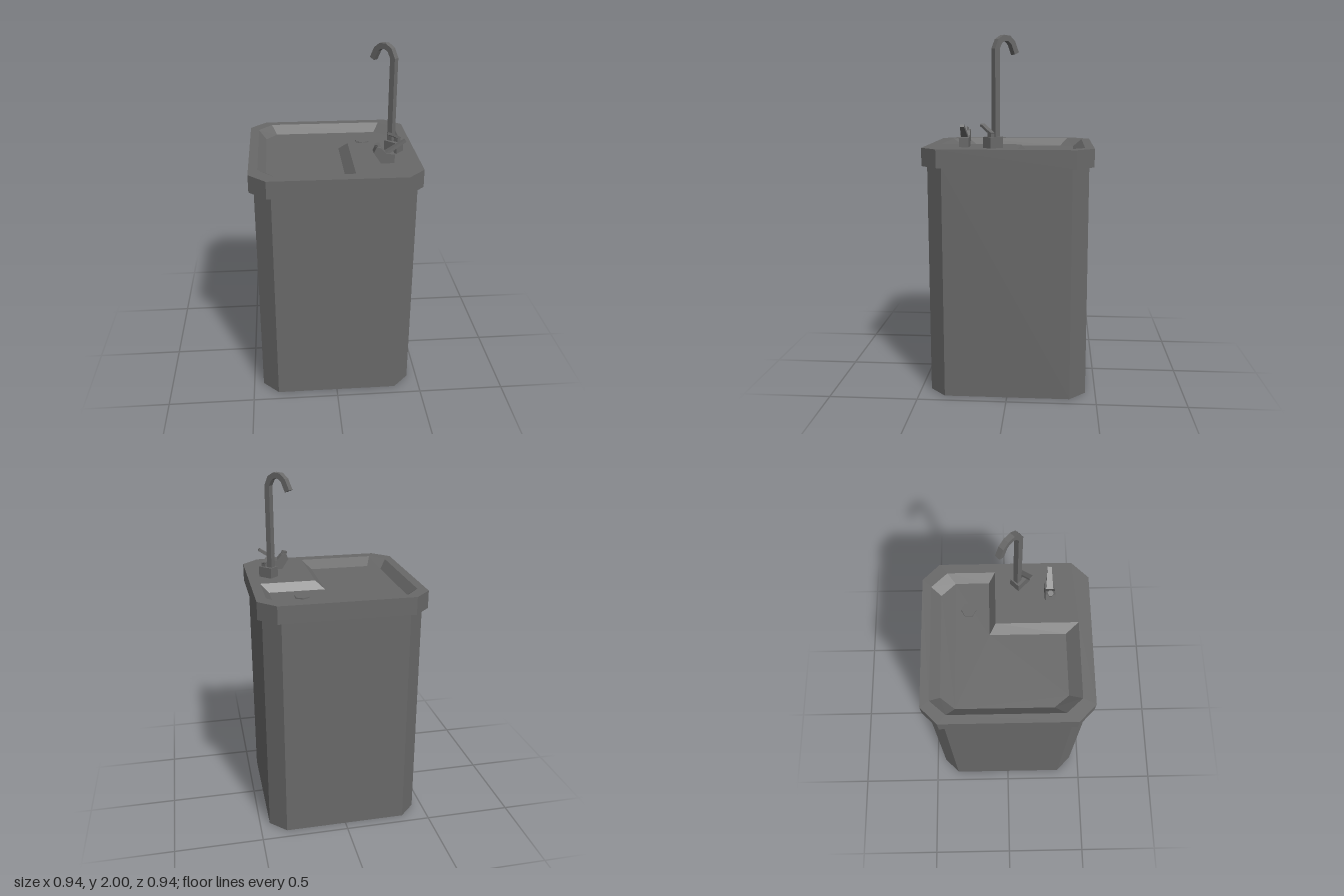
import * as THREE from 'three';

const steel = new THREE.MeshStandardMaterial({ color: 0x696969 });
steel.name = 'greySteel';

function add(parent, geometry, name, x = 0, y = 0, z = 0) {
  const flat = geometry.index ? geometry.toNonIndexed() : geometry;
  flat.computeVertexNormals();
  const mesh = new THREE.Mesh(flat, steel);
  mesh.name = name;
  mesh.position.set(x, y, z);
  parent.add(mesh);
  return mesh;
}

// Square outline [x, z] with chamfered corners
function octagon(r, c) {
  return [[-c, -r], [c, -r], [r, -c], [r, c], [c, r], [-c, r], [-r, c], [-r, -c]];
}

// Band of faces joining two outlines at two heights
function band(low, y0, high, y1) {
  const p = [];
  low.forEach((a, i) => {
    const j = (i + 1) % low.length;
    const A = [a[0], y0, a[1]], B = [low[j][0], y0, low[j][1]];
    const C = [high[j][0], y1, high[j][1]], D = [high[i][0], y1, high[i][1]];
    p.push(...A, ...D, ...C, ...A, ...C, ...B);
  });
  const g = new THREE.BufferGeometry();
  g.setAttribute('position', new THREE.Float32BufferAttribute(p, 3));
  return g;
}

// Horizontal upward face, optionally with a hole
function plate(outline, hole) {
  const pts = (o) => o.map(([x, z]) => new THREE.Vector2(x, -z));
  const shape = new THREE.Shape(pts(outline));
  if (hole) shape.holes.push(new THREE.Path(pts(hole)));
  return new THREE.ShapeGeometry(shape).rotateX(-Math.PI / 2);
}

// Side profile extruded evenly about its own plane
function slab(points, depth) {
  const shape = new THREE.Shape(points.map(([x, y]) => new THREE.Vector2(x, y)));
  return new THREE.ExtrudeGeometry(shape, { depth, bevelEnabled: false }).translate(0, 0, -depth / 2);
}

// Outline of a bent bar of constant width along a path
function barOutline(path, half) {
  const left = [], right = [];
  path.forEach((p, i) => {
    const a = path[Math.max(i - 1, 0)], b = path[Math.min(i + 1, path.length - 1)];
    const dx = b[0] - a[0], dy = b[1] - a[1], l = Math.hypot(dx, dy);
    left.push([p[0] - dy / l * half, p[1] + dx / l * half]);
    right.unshift([p[0] + dy / l * half, p[1] - dx / l * half]);
  });
  return [...left, ...right];
}

export function createModel() {
  const model = new THREE.Group();
  model.name = 'drinkingSink';

  // Cabinet
  const base = octagon(0.443, 0.352);
  const rim = octagon(0.47, 0.375);
  add(model, band(base, 0, base, 1.3), 'cabinet');
  add(model, plate(base).rotateX(Math.PI), 'cabinetBottom');

  // Counter with an L-shaped basin
  const basinTop = [[-0.34, -0.42], [0.33, -0.42], [0.415, -0.33], [0.415, -0.06], [0.1, -0.06],
    [0.1, 0.4], [-0.34, 0.4], [-0.42, 0.31], [-0.42, -0.33]];
  const basinLow = [[-0.31, -0.365], [0.295, -0.365], [0.37, -0.285], [0.37, -0.095], [0.05, -0.095],
    [0.05, 0.33], [-0.31, 0.33], [-0.375, 0.25], [-0.375, -0.285]];
  const floorY = 1.355;
  add(model, band(base, 1.3, rim, 1.3), 'counterUnderside');
  add(model, band(rim, 1.3, rim, 1.4), 'counterEdge');
  add(model, plate(rim, basinTop), 'counterTop', 0, 1.4, 0);
  add(model, band(basinTop, 1.4, basinLow, floorY), 'basinWalls');
  add(model, plate(basinLow), 'basinFloor', 0, floorY, 0);
  add(model, new THREE.CylinderGeometry(0.043, 0.043, 0.008, 6), 'drain', 0.203, floorY + 0.003, -0.21);

  // Gooseneck faucet, turned toward the basin (local +x is the spout direction)
  const faucet = new THREE.Group();
  faucet.name = 'faucet';
  faucet.position.set(0.335, 0, 0.065);
  faucet.rotation.y = Math.PI * 0.75;
  model.add(faucet);
  add(faucet, new THREE.BoxGeometry(0.087, 0.06, 0.064), 'faucetBase', -0.02, 1.43, 0);
  const neck = [[0, 1.45], [0, 1.925], [0.02, 1.966], [0.05, 1.984], [0.085, 1.982], [0.112, 1.96], [0.138, 1.905]];
  add(faucet, slab(barOutline(neck, 0.016), 0.032), 'gooseneck');
  add(faucet, new THREE.BoxGeometry(0.026, 0.03, 0.03), 'leverPivot', -0.039, 1.47, 0.006);
  const lever = add(faucet, new THREE.BoxGeometry(0.028, 0.014, 0.1), 'faucetLever', -0.039, 1.499, -0.025);
  lever.rotation.x = 0.49;

  // Drinking bubbler
  const bubbler = new THREE.Group();
  bubbler.name = 'bubbler';
  bubbler.position.z = 0.243;
  model.add(bubbler);
  add(bubbler, slab([[0.25, 1.4], [0.325, 1.4], [0.325, 1.45], [0.28, 1.455], [0.25, 1.487],
    [0.225, 1.495], [0.21, 1.46]], 0.054), 'bubblerBody');
  const nozzle = add(bubbler, new THREE.CylinderGeometry(0.017, 0.017, 0.02, 6), 'nozzle', 0.232, 1.495, 0);
  nozzle.rotation.z = 0.3;

  // Push lever, narrowing toward its tip
  const arm = new THREE.BoxGeometry(0.125, 0.016, 0.04);
  const pos = arm.attributes.position;
  for (let i = 0; i < pos.count; i++) if (pos.getX(i) > 0) pos.setZ(i, pos.getZ(i) * 0.55);
  const push = add(bubbler, arm, 'pushLever', 0.332, 1.487, 0);
  push.rotation.z = 0.58;

  return model;
}
